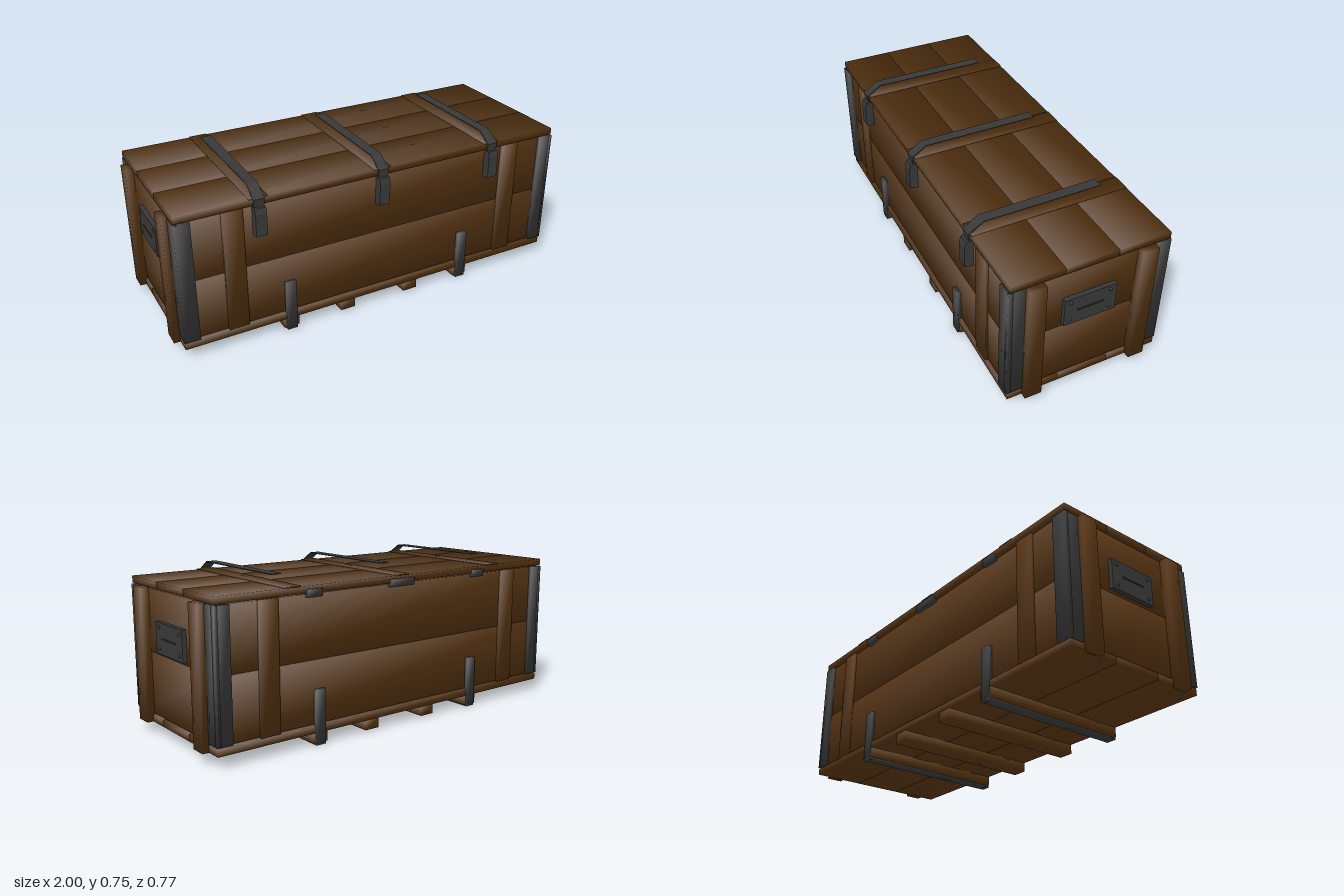
import * as THREE from 'three';

export function createModel() {
  const crate = new THREE.Group();
  crate.name = 'crate';
  const mat = (name, color) => Object.assign(new THREE.MeshStandardMaterial({ color }), { name });
  const wood = mat('brown wood', 0x553311);
  const metal = mat('dark metal', 0x383838);

  const add = (name, geometry, material) => {
    const mesh = new THREE.Mesh(geometry, material);
    mesh.name = name;
    crate.add(mesh);
    return mesh;
  };

  // Box given by its limits; soft ones have normals averaged at the corners
  function block(name, material, [x0, x1], [y0, y1], [z0, z1], soft = true) {
    const g = new THREE.BoxGeometry(x1 - x0, y1 - y0, z1 - z0);
    if (soft) {
      const p = g.attributes.position, n = g.attributes.normal, v = new THREE.Vector3();
      for (let i = 0; i < p.count; i++) {
        v.set(Math.sign(p.getX(i)), Math.sign(p.getY(i)), Math.sign(p.getZ(i))).normalize();
        n.setXYZ(i, v.x, v.y, v.z);
      }
    }
    g.translate((x0 + x1) / 2, (y0 + y1) / 2, (z0 + z1) / 2);
    return add(name, g, material);
  }

  // Side profile of [z, y] points, extruded across x
  function profile(name, material, points, x, width) {
    const shape = new THREE.Shape(points.map(([z, y]) => new THREE.Vector2(z, y)));
    const g = new THREE.ExtrudeGeometry(shape, { depth: width, bevelEnabled: false });
    g.rotateY(-Math.PI / 2).translate(x + width / 2, 0, 0);
    return add(name, g, material);
  }

  const span = (s, a, b) => (s > 0 ? [a, b] : [-b, -a]);
  const around = (c, w) => [c - w / 2, c + w / 2];
  const L = [-0.97, 0.97];
  const rows = [[0.115, 0.36], [-0.13, 0.113], [-0.378, -0.132]];
  const courses = [[0.093, 0.379], [0.381, 0.667]];

  // Lid and floor planks
  for (const z of rows) {
    block('lidPlank', wood, L, [0.673, 0.705], z);
    block('floorPlank', wood, L, [0.055, 0.087], z);
  }

  // Walls, two planks high
  for (const y of courses) {
    block('frontPlank', wood, [-0.96, 0.96], y, [0.32, 0.348]);
    block('backPlank', wood, [-0.96, 0.96], y, [-0.366, -0.338]);
    block('leftEndPlank', wood, [0.932, 0.962], y, [-0.338, 0.32]);
    block('rightEndPlank', wood, [-0.962, -0.932], y, [-0.338, 0.32]);
  }

  for (const s of [-1, 1]) {
    // Upright cleats on the long sides and the ends
    const cx = span(s, 0.67, 0.765);
    block('frontCleat', wood, cx, [0.09, 0.67], [0.345, 0.361]);
    block('backCleat', wood, cx, [0.09, 0.67], [-0.378, -0.363]);
    for (const z of [[0.211, 0.29], [-0.305, -0.228]])
      block('endCleat', wood, span(s, 0.96, 1), [0.055, 0.67], z);

    // Angle irons on the four corners
    for (const [z, face] of [[[0.29, 0.367], [0.345, 0.367]], [[-0.382, -0.307], [-0.382, -0.363]]]) {
      block('cornerIronSide', metal, span(s, 0.9, 0.972), [0.093, 0.668], face);
      block('cornerIronEnd', metal, span(s, 0.955, 0.972), [0.093, 0.668], z);
    }

    // End plate with a bar and four rivets
    block('endPlate', metal, span(s, 0.955, 0.982), [0.395, 0.535], [-0.13, 0.115], false);
    block('plateBar', metal, span(s, 0.98, 0.986), [0.463, 0.469], [-0.07, 0.055], false);
    for (const y of [0.42, 0.514])
      for (const z of [-0.1, 0.086]) {
        const rivet = add('rivet', new THREE.SphereGeometry(0.009, 10, 6), metal);
        rivet.scale.x = 0.6;
        rivet.position.set(s * 0.982, y, z);
      }

    // Runners under the floor, the outer pair held by metal straps
    for (const x of [0.172, 0.465])
      block('runner', wood, around(s * x, 0.075), [0.009, 0.055], [-0.378, 0.36]);
    const sx = around(s * 0.465, 0.05);
    block('runnerStrapBase', metal, sx, [0, 0.01], [-0.384, 0.369]);
    block('runnerStrapFront', metal, sx, [0, 0.25], [0.346, 0.369]);
    block('runnerStrapBack', metal, sx, [0, 0.25], [-0.384, -0.364]);
  }

  for (const x of [-0.6, 0, 0.6]) {
    // Batten, raised strap and latch
    block('lidBatten', wood, around(x, 0.085), [0.703, 0.709], [-0.378, 0.361]);
    profile('lidStrap', metal, [
      [-0.255, 0.749], [-0.255, 0.745], [0.299, 0.745], [0.365, 0.7], [0.362, 0.664],
      [0.368, 0.664], [0.372, 0.703], [0.301, 0.749],
    ], x, 0.05);
    profile('latch', metal, [
      [0.347, 0.53], [0.368, 0.53], [0.388, 0.535], [0.388, 0.64], [0.38, 0.665], [0.347, 0.668],
    ], x, 0.052);
  }

  // Hinges along the back edge
  for (const [x, w] of [[-0.49, 0.075], [0, 0.14], [0.49, 0.075]])
    block('hinge', metal, around(x, w), [0.655, 0.69], [-0.387, -0.364]);

  return crate;
}
